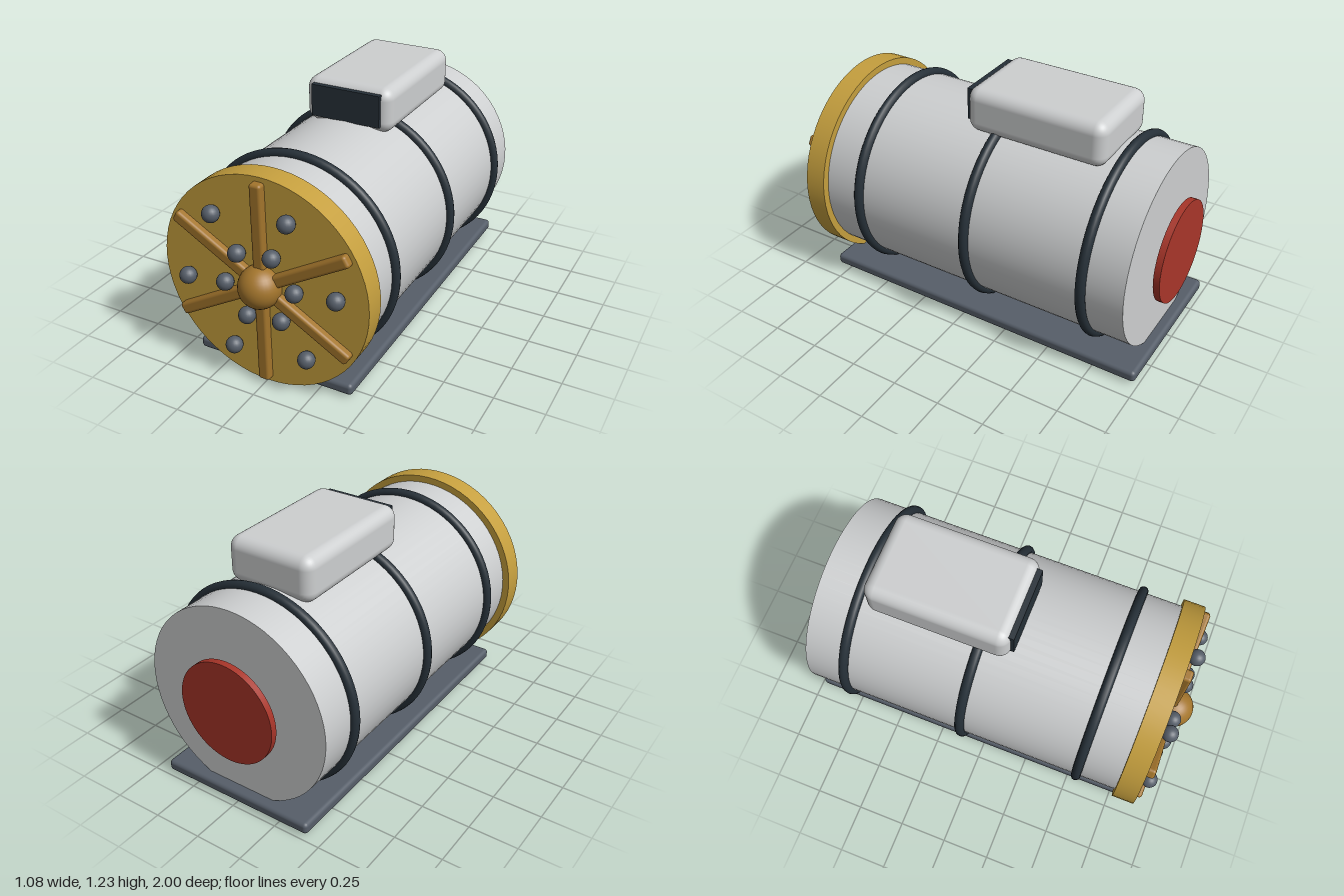
import * as THREE from 'three';
import { RoundedBoxGeometry } from 'three/addons/geometries/RoundedBoxGeometry.js';

const AXIS_Y = 0.541; // height of the drum's axis

function material(name, color) {
  const m = new THREE.MeshStandardMaterial({ color });
  m.name = name;
  return m;
}

export function createModel() {
  const shell = material('light grey', 0xcdcfd0);
  const gold = material('gold', 0xc59f3e);
  const bronze = material('bronze', 0xa3752c);
  const slate = material('slate', 0x565e69);
  const dark = material('near black', 0x263038);
  const red = material('red', 0xa83529);

  const model = new THREE.Group();
  model.name = 'tunnelBoringMachine';

  function add(parent, name, geometry, mat, x, y, z) {
    const mesh = new THREE.Mesh(geometry, mat);
    mesh.name = name;
    mesh.position.set(x, y, z);
    parent.add(mesh);
    return mesh;
  }
  // Cylinder along z between two depths
  function drum(name, radius, z0, z1, mat) {
    const geometry = new THREE.CylinderGeometry(radius, radius, z1 - z0, 64).rotateX(Math.PI / 2);
    return add(model, name, geometry, mat, 0, AXIS_Y, (z0 + z1) / 2);
  }

  // Body, front disc and rear cover
  drum('body', 0.502, -0.93, 0.80, shell);
  drum('cutterDisc', 0.538, 0.76, 0.872, gold);
  drum('rearCover', 0.262, -1.0, -0.967, red);

  // Hoops around the body
  const hoop = new THREE.TorusGeometry(0.508, 0.025, 12, 72);
  for (const z of [0.552, -0.083, -0.718]) add(model, 'hoop', hoop, dark, 0, AXIS_Y, z);

  // Base plate
  add(model, 'basePlate', new RoundedBoxGeometry(0.842, 0.06, 1.804, 3, 0.02), slate, 0, 0.047, -0.082);

  // Housing on top with its window
  add(model, 'housing', new RoundedBoxGeometry(0.47, 0.232, 0.736, 4, 0.06), shell, 0, 1.114, -0.296);
  add(model, 'window', new THREE.BoxGeometry(0.372, 0.165, 0.03), dark, 0, 1.122, 0.074);

  // Cutter head: hub, spokes and two rings of studs
  const head = new THREE.Group();
  head.name = 'cutterHead';
  head.position.y = AXIS_Y;
  model.add(head);
  add(head, 'hub', new THREE.SphereGeometry(0.104, 32, 20), bronze, 0, 0, 0.896);

  const bar = new RoundedBoxGeometry(0.06, 1.03, 0.06, 3, 0.015);
  const stud = new THREE.SphereGeometry(0.042, 20, 14);
  for (let i = 0; i < 3; i++) {
    add(head, 'spoke', bar, bronze, 0, 0, 0.88).rotation.z = (i * Math.PI) / 3;
  }
  for (const radius of [0.185, 0.396]) {
    for (let i = 0; i < 6; i++) {
      const a = 0.12 + (i * Math.PI) / 3;
      add(head, 'stud', stud, slate, radius * Math.cos(a), radius * Math.sin(a), 0.907);
    }
  }

  return model;
}
